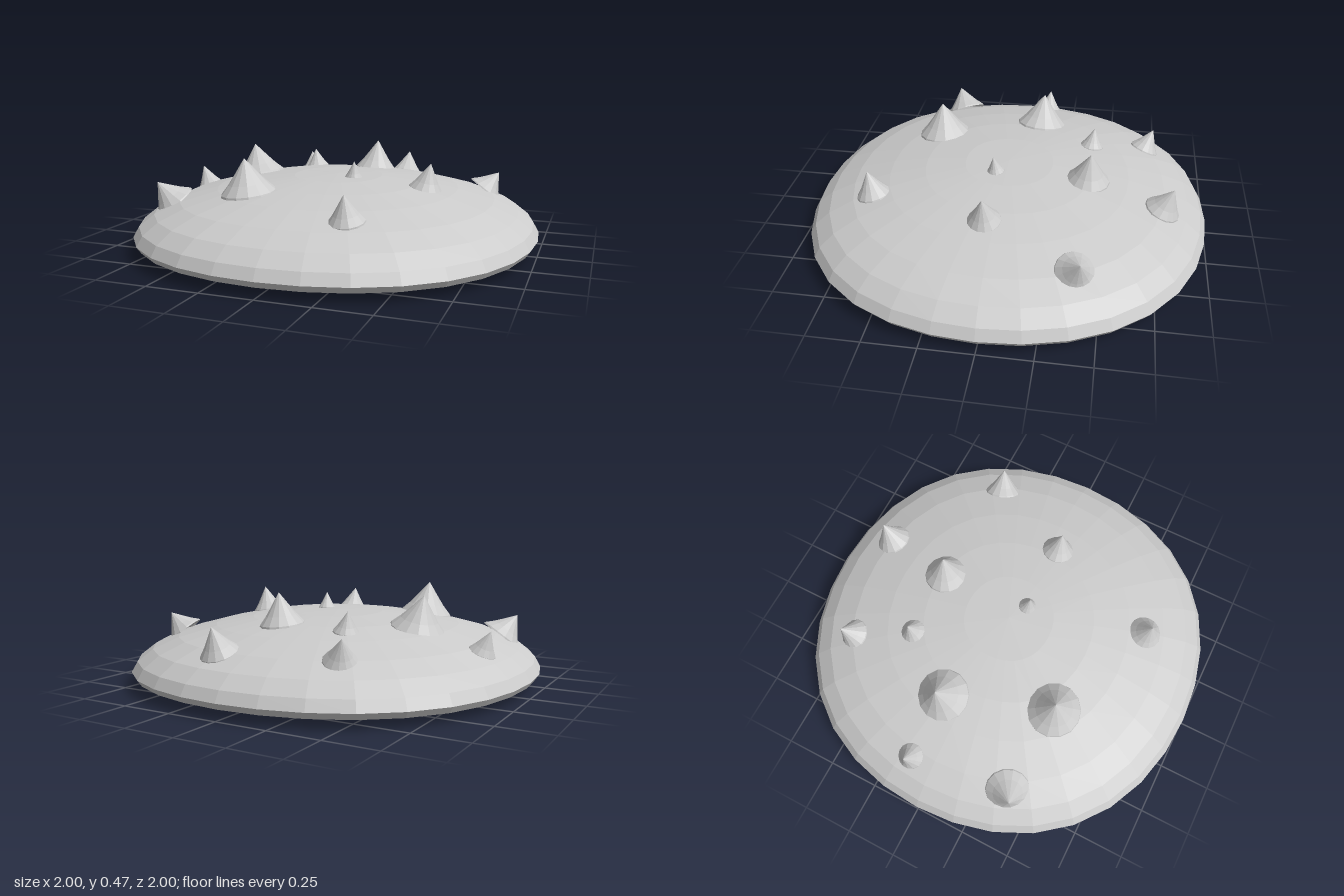
import * as THREE from 'three';

const material = new THREE.MeshStandardMaterial({ color: 0xcccccc, flatShading: true, side: THREE.DoubleSide });

// Shell profile as [radius, height], from the underside centre to the crown
const underside = [[0, 0], [0.3, 0.004], [0.6, 0.014], [0.85, 0.03], [0.98, 0.045]];
const dome = [[1, 0.075], [0.972, 0.125], [0.9, 0.182], [0.78, 0.235], [0.6, 0.284],
  [0.42, 0.318], [0.22, 0.339], [0, 0.346]];

// The outline is a slightly squared circle
const squareness = (x, z) => 1 + 0.014 * (1 - Math.cos(4 * Math.atan2(z, x)));

// Height of the dome above a point on the ground
function domeHeight(x, z) {
  const r = Math.hypot(x, z) / squareness(x, z);
  const i = dome.findIndex(p => p[0] <= r);
  const [r0, y0] = dome[i - 1], [r1, y1] = dome[i];
  return THREE.MathUtils.mapLinear(r, r0, r1, y0, y1);
}

function createShell() {
  const points = [...underside, ...dome].map(p => new THREE.Vector2(...p));
  const geometry = new THREE.LatheGeometry(points, 32);
  const pos = geometry.attributes.position;
  for (let i = 0; i < pos.count; i++) {
    const x = pos.getX(i), z = pos.getZ(i), s = squareness(x, z);
    pos.setX(i, x * s);
    pos.setZ(i, z * s);
  }
  geometry.computeVertexNormals();
  const shell = new THREE.Mesh(geometry, material);
  shell.name = 'shell';
  return shell;
}

// Concave cone from its base on the dome to its tip
const spikeProfile = [[1.02, -0.06], [1, 0], [0.69, 0.27], [0.42, 0.55], [0.19, 0.8], [0, 1]];

function createSpike([x, z, radius, tipX, tipY, tipZ]) {
  const base = new THREE.Vector3(x, domeHeight(x, z), z);
  const axis = new THREE.Vector3(tipX, tipY, tipZ).sub(base);
  const height = axis.length();
  const points = spikeProfile.map(([r, h]) => new THREE.Vector2(r * radius, h * height));
  const spike = new THREE.Mesh(new THREE.LatheGeometry(points, 14), material);
  spike.position.copy(base);
  spike.quaternion.setFromUnitVectors(new THREE.Vector3(0, 1, 0), axis.normalize());
  return spike;
}

// Base x, base z, base radius, then tip x, y, z
const spikes = [
  [-0.40, -0.68, 0.075, -0.43, 0.335, -0.72],
  [0.155, -0.77, 0.087, 0.16, 0.35, -0.815],
  [-0.27, -0.40, 0.06, -0.285, 0.40, -0.41],
  [0.075, -0.40, 0.105, 0.085, 0.465, -0.41],
  [0.685, -0.385, 0.09, 0.75, 0.325, -0.41],
  [-0.81, -0.12, 0.063, -0.85, 0.315, -0.125],
  [-0.49, -0.11, 0.128, -0.525, 0.455, -0.12],
  [0.1, 0.055, 0.043, 0.105, 0.42, 0.065],
  [0.465, 0.05, 0.08, 0.49, 0.43, 0.055],
  [-0.74, 0.37, 0.105, -0.805, 0.32, 0.41],
  [-0.31, 0.40, 0.132, -0.325, 0.465, 0.41],
  [0.265, 0.635, 0.083, 0.26, 0.38, 0.66],
];

export function createModel() {
  const model = new THREE.Group();
  model.name = 'spikedShell';
  model.add(createShell());
  spikes.forEach((data, i) => {
    const spike = createSpike(data);
    spike.name = `spike${i + 1}`;
    model.add(spike);
  });
  return model;
}
